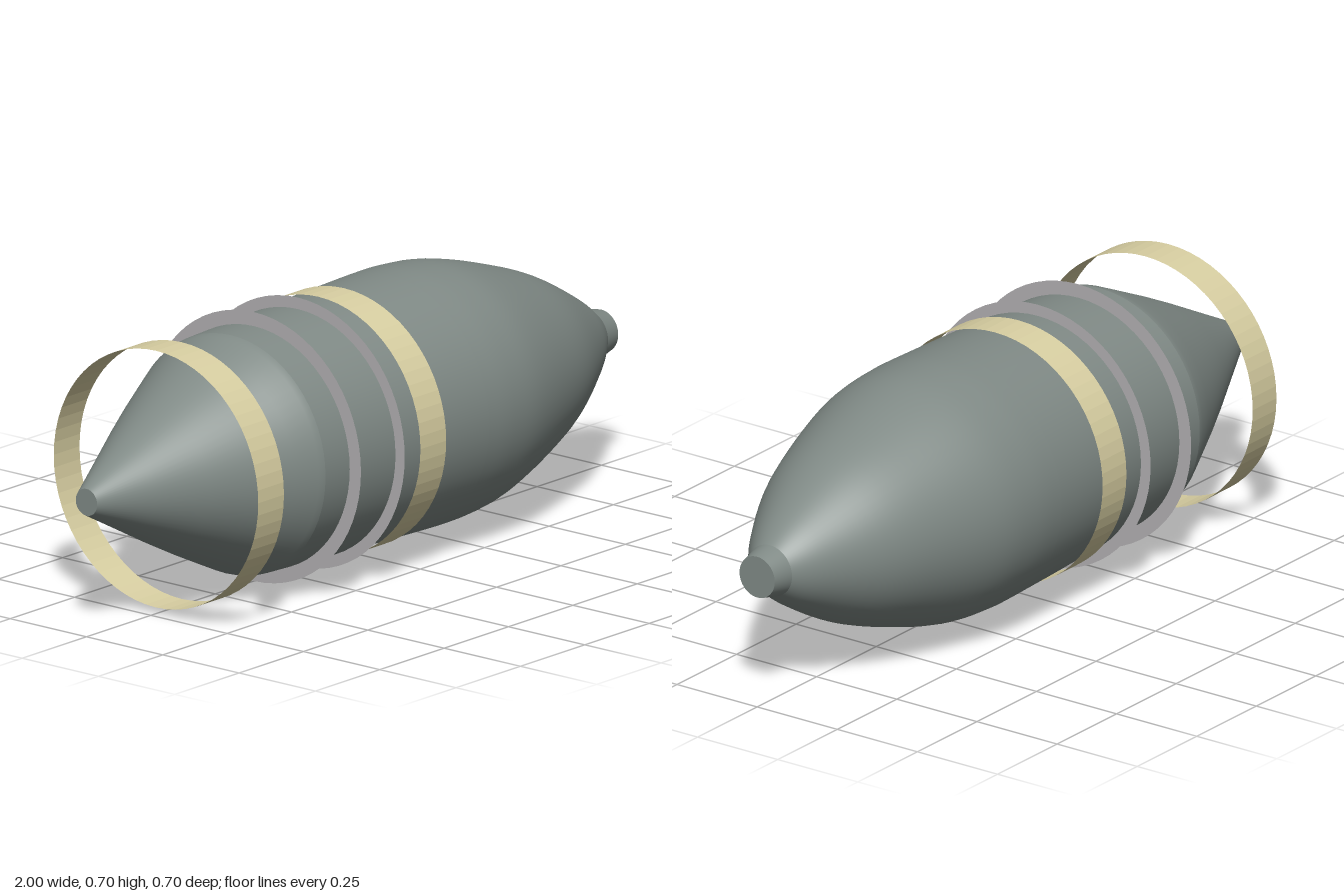
import * as THREE from 'three';

const AXIS_Y = 0.353;
const SEGMENTS = 64;

export function createModel() {
  const model = new THREE.Group();
  model.name = 'shell';

  const steel = new THREE.MeshStandardMaterial({ color: 0x808a86 });
  steel.name = 'grey steel';
  const brass = new THREE.MeshStandardMaterial({ color: 0xd8cfa2, side: THREE.DoubleSide, flatShading: true });
  brass.name = 'pale brass';
  const silver = new THREE.MeshStandardMaterial({ color: 0xb2b0b2, side: THREE.DoubleSide });
  silver.name = 'light grey metal';

  // Everything is turned about the long axis, which is laid along +x
  const add = (name, geometry, material, x = 0) => {
    const mesh = new THREE.Mesh(geometry, material);
    mesh.name = name;
    mesh.position.set(x, AXIS_Y, 0);
    model.add(mesh);
  };
  const turned = (points) =>
    new THREE.LatheGeometry(points, SEGMENTS).rotateZ(-Math.PI / 2);
  const toProfile = (pairs) => pairs.map(([x, r]) => new THREE.Vector2(r, x));

  // Tapered tail cone with a blunt end
  add('tailCone', turned(toProfile([
    [-1, 0.035], [-0.86, 0.108], [-0.73, 0.176], [-0.63, 0.226], [-0.52, 0.278], [-0.46, 0.306], [-0.44, 0.311],
  ])), steel);
  add('tailCap', turned(toProfile([[-1, 0], [-1, 0.035]])), steel);

  // Nearly straight middle, then the curved nose
  add('middleBody', turned(toProfile([[-0.44, 0.311], [-0.2, 0.32], [0, 0.328], [0.17, 0.333]])), steel);
  const noseCurve = new THREE.SplineCurve(toProfile([
    [0.17, 0.333], [0.27, 0.333], [0.39, 0.32], [0.545, 0.276], [0.706, 0.215], [0.866, 0.125], [0.945, 0.068],
  ]));
  add('nose', turned(noseCurve.getPoints(30)), steel);

  // Small blunt nose tip
  add('noseTip', turned(toProfile([[0.945, 0.068], [1, 0.055]])), steel);
  add('noseCap', turned(toProfile([[1, 0.055], [1, 0]])), steel);

  // Thin open bands
  for (const [name, x] of [['rearBand', -0.68], ['middleBand', -0.05]]) {
    add(name, new THREE.CylinderGeometry(0.335, 0.335, 0.1, SEGMENTS, 1, true).rotateZ(-Math.PI / 2), brass, x);
  }

  // Flat rings standing out from the body
  for (const [name, x] of [['rearRing', -0.35], ['frontRing', -0.18]]) {
    add(name, new THREE.RingGeometry(0.312, 0.351, SEGMENTS).rotateY(Math.PI / 2), silver, x);
  }

  return model;
}
